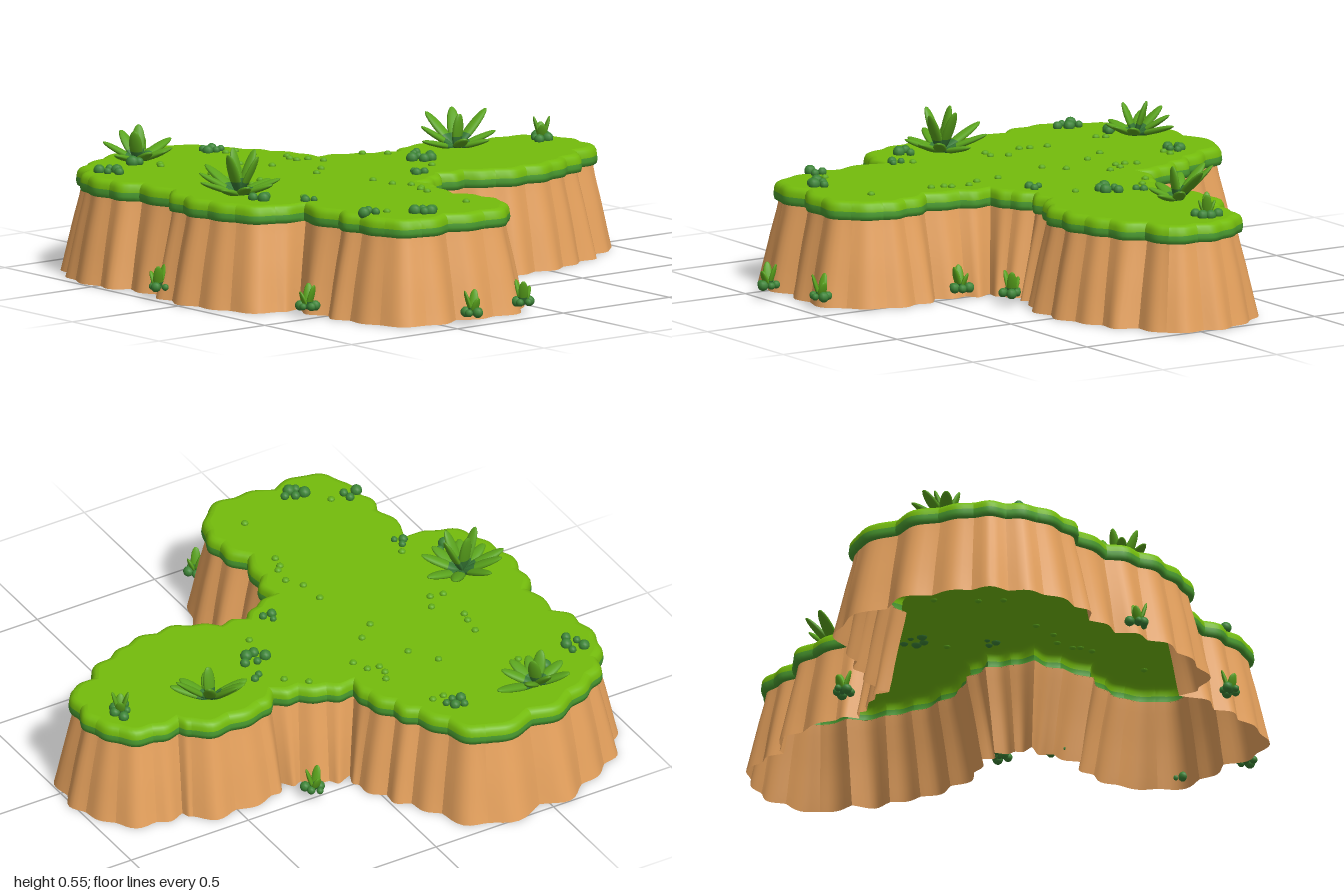
import * as THREE from 'three';

const mat = (name, color, side = THREE.FrontSide) => {
  const m = new THREE.MeshStandardMaterial({ color, side });
  m.name = name;
  return m;
};

// Corner points between the rounded lobes of the plateau edge, as x, z
const notches = [
  [-.46, -.91], [-.26, -.92], [-.17, -.80], [-.11, -.69], [-.06, -.60], [-.01, -.50], [0, -.41], [.10, -.39],
  [.19, -.34], [.28, -.31], [.36, -.36], [.50, -.37], [.64, -.33], [.67, -.29], [.78, -.29], [.89, -.23],
  [.935, -.14], [.935, -.03], [.91, .08], [.80, .11], [.68, .19], [.58, .23], [.45, .24], [.32, .22],
  [.22, .16], [.12, .15], [.05, .20], [-.04, .23], [-.06, .35], [-.085, .48], [-.04, .60], [-.04, .70],
  [-.10, .80], [-.24, .84], [-.39, .81], [-.53, .83], [-.63, .74], [-.65, .62], [-.65, .50], [-.65, .30],
  [-.77, .28], [-.87, .17], [-.90, .05], [-.90, -.09], [-.86, -.22], [-.87, -.38], [-.915, -.50], [-.91, -.63],
  [-.85, -.73], [-.77, -.82], [-.65, -.88],
].map(([x, z]) => new THREE.Vector2(x, z));
const COUNT = notches.length;
const STEPS = 8;

const at = (i) => notches[(i + COUNT) % COUNT];
// Outward direction at each corner
const outward = notches.map((p, i) => {
  const d = at(i + 1).clone().sub(at(i - 1)).normalize();
  return new THREE.Vector2(d.y, -d.x);
});

// Point on lobe i at t, moved outward by offset; bulge rounds the lobe, with softened corners
function edgePoint(i, t, offset, bulge) {
  const a = at(i), b = at(i + 1);
  const n = outward[i].clone().lerp(outward[(i + 1) % COUNT], t).normalize();
  const arc = Math.sin(Math.PI * t);
  const swell = bulge * a.distanceTo(b) * (1 + 0.3 * Math.sin(i * 2.4)) * arc * (.5 + .5 * arc);
  return a.clone().lerp(b, t).addScaledVector(n, offset + swell);
}

// Skin along the edge from rows of [offset, y, bulge], top to bottom; each lobe is separate to keep its crease
function edgeSkin(rows) {
  const pos = [], index = [];
  for (let i = 0; i < COUNT; i++) {
    const start = pos.length / 3;
    for (const [offset, y, bulge] of rows) {
      for (let s = 0; s <= STEPS; s++) {
        const p = edgePoint(i, s / STEPS, offset, bulge);
        pos.push(p.x, y, p.y);
      }
    }
    for (let r = 0; r < rows.length - 1; r++) {
      for (let s = 0; s < STEPS; s++) {
        const u = start + r * (STEPS + 1) + s, l = u + STEPS + 1;
        index.push(u, u + 1, l, u + 1, l + 1, l);
      }
    }
  }
  const g = new THREE.BufferGeometry();
  g.setAttribute('position', new THREE.Float32BufferAttribute(pos, 3));
  g.setIndex(index);
  g.computeVertexNormals();
  return g;
}

export function createModel() {
  const model = new THREE.Group();
  model.name = 'grassyPlateau';
  const earth = mat('earth', 0xe8a35e, THREE.DoubleSide);
  const grass = mat('grass', 0x74bc0c, THREE.DoubleSide);
  const turf = mat('turf', 0x4a9c30, THREE.DoubleSide);
  const leafTip = mat('leafTip', 0x5aa41c);
  const leafBase = mat('leafBase', 0x377a36);
  const bush = mat('bush', 0x3c8436);
  const sprout = mat('sprout', 0x60ac1a);

  const add = (parent, name, geometry, material) => {
    const m = new THREE.Mesh(geometry, material);
    m.name = name;
    parent.add(m);
    return m;
  };

  // Earth cliff, open underneath, flaring toward the foot
  add(model, 'cliff', edgeSkin([
    [-.014, .324, .15], [-.006, .28, .16], [.012, .20, .18], [.028, .12, .20], [.040, .05, .23], [.05, .003, .24],
  ]), earth);
  // Dark turf band with its underside, then the bright rounded lip
  add(model, 'turfBand', edgeSkin([
    [.002, .353, .17], [.004, .338, .17], [0, .322, .17], [-.014, .322, .15],
  ]), turf);
  add(model, 'grassLip', edgeSkin([
    [-.030, .388, .17], [-.018, .386, .17], [-.007, .380, .17], [0, .368, .17], [.002, .353, .17],
  ]), grass);
  // Flat lawn
  const lawn = new THREE.Shape();
  for (let i = 0; i < COUNT; i++) {
    for (let s = 0; s < STEPS; s++) {
      const p = edgePoint(i, s / STEPS, -.030, .17);
      if (i + s === 0) lawn.moveTo(p.x, -p.y);
      else lawn.lineTo(p.x, -p.y);
    }
  }
  add(model, 'lawn', new THREE.ShapeGeometry(lawn).rotateX(-Math.PI / 2).translate(0, .388, 0), grass);

  // Leaf blade from its root to the tip at (x, y, z), split into a bright outer part and dark base
  const tipGeo = new THREE.SphereGeometry(.5, 10, 6, 0, Math.PI * 2, 0, Math.PI * .6).translate(0, .5, 0);
  const baseGeo = new THREE.SphereGeometry(.5, 10, 5, 0, Math.PI * 2, Math.PI * .6, Math.PI * .4).translate(0, .5, 0);
  function addLeaf(parent, [x, y, z], width) {
    const length = Math.hypot(x, y, z);
    const leaf = new THREE.Group();
    leaf.name = 'leaf';
    leaf.rotation.set(Math.acos(y / length), Math.atan2(x, z), 0, 'YXZ');
    leaf.scale.set(width, length, width * .45);
    add(leaf, 'leafTip', tipGeo, leafTip);
    add(leaf, 'leafBase', baseGeo, leafBase);
    parent.add(leaf);
  }
  const place = (name, x, y, z) => {
    const g = new THREE.Group();
    g.name = name;
    g.position.set(x, y, z);
    model.add(g);
    return g;
  };

  // Large leafy tufts: position, then the leaf tips
  for (const [x, z, tips] of [
    [-.71, 0, [
      [-.015, .09, -.18], [.11, .07, -.13], [.16, .04, -.02], [.12, .06, .09], [.05, .05, .13], [-.06, .05, .12],
      [-.13, .04, .06], [-.16, .06, -.03], [-.11, .08, -.10],
      [-.07, .16, .02], [0, .17, -.04], [.08, .16, -.01], [.03, .15, .07],
    ]],
    [-.57, -.76, [
      [.19, .06, -.04], [.09, .08, -.09], [.01, .10, -.11], [-.09, .07, -.09], [-.13, .04, .03], [.10, .05, .08],
      [.04, .05, .12], [-.03, .05, .11], [.03, .13, -.03], [-.04, .12, .03],
    ]],
    [.5, -.23, [
      [-.15, .04, -.01], [-.10, .08, -.08], [-.03, .12, -.14], [.07, .13, -.11], [.15, .13, -.01], [.13, .06, .07],
      [.06, .04, .12], [-.04, .05, .10], [0, .13, .02],
    ]],
  ]) {
    const tuft = place('leafTuft', x, .382, z);
    for (const tip of tips) addLeaf(tuft, tip, .05);
  }

  // Clumps of round shoots with optional upright leaves
  const ball = new THREE.SphereGeometry(1, 10, 7);
  function addClump(name, x, y, z, count, spread, radius, leaves) {
    const clump = place(name, x, y, z);
    for (let k = 0; k < count; k++) {
      const a = x * 9 + k * Math.PI * 2 / count, r = spread * (.85 + .25 * Math.sin(k * 3 + z * 7));
      const m = add(clump, 'shoot', ball, bush);
      m.position.set(Math.cos(a) * r, radius * .8, Math.sin(a) * r);
      m.scale.setScalar(radius * (.9 + .2 * Math.sin(k * 2 + x)));
    }
    for (let k = 0; k < leaves; k++) {
      const a = x * 5 + k * Math.PI * 2 / leaves;
      addLeaf(clump, [Math.sin(a) * .03, .095 - .025 * (k % 2), Math.cos(a) * .03], .036);
    }
  }
  // On the lawn: x, z, shoots, spread, radius, leaves
  for (const [x, z, count, spread, radius, leaves] of [
    [-.81, -.62, 5, .040, .020, 0], [-.25, -.72, 5, .032, .018, 0], [.24, -.10, 5, .044, .021, 0],
    [.83, -.14, 5, .040, .020, 4], [-.43, .73, 5, .036, .021, 0], [-.60, .62, 3, .033, .02, 0],
    [-.73, .15, 3, .03, .021, 0], [.05, .10, 3, .024, .017, 0], [-.64, -.69, 2, .014, .022, 0],
    [.285, -.205, 2, .018, .015, 0], [-.61, .27, 3, .022, .016, 0],
  ]) addClump('lawnClump', x, .380, z, count, spread, radius, leaves);
  // Around the foot of the cliff
  for (const [x, z] of [
    [.22, -.5], [.205, .30], [.03, .41], [-.125, .92], [-.40, .965], [-.79, .49], [-.965, -.16],
  ]) addClump('footClump', x, .035, z, 5, .032, .018, 3);

  // Tiny sprouts scattered over the lawn
  for (const [x, z] of [
    [-.34, -.45], [-.27, -.35], [-.55, -.36], [-.56, -.29], [-.57, -.10], [-.49, -.15], [-.52, -.09], [-.57, -.25],
    [-.17, -.19], [-.24, -.13], [-.11, -.46], [-.13, -.42], [-.13, -.38], [-.085, -.37], [-.06, -.31], [.14, -.33],
    [.21, -.27], [.19, .01], [-.17, .11], [-.16, .21], [-.12, .27], [-.15, .36], [-.16, .41], [-.13, .34],
    [-.18, .66], [-.53, .63], [-.58, .21], [-.59, -.60], [-.57, -.63], [-.19, -.66], [-.235, -.66],
  ]) {
    const m = add(model, 'sprout', ball, sprout);
    m.position.set(x, .39, z);
    m.scale.set(.014, .011, .014);
  }
  return model;
}
